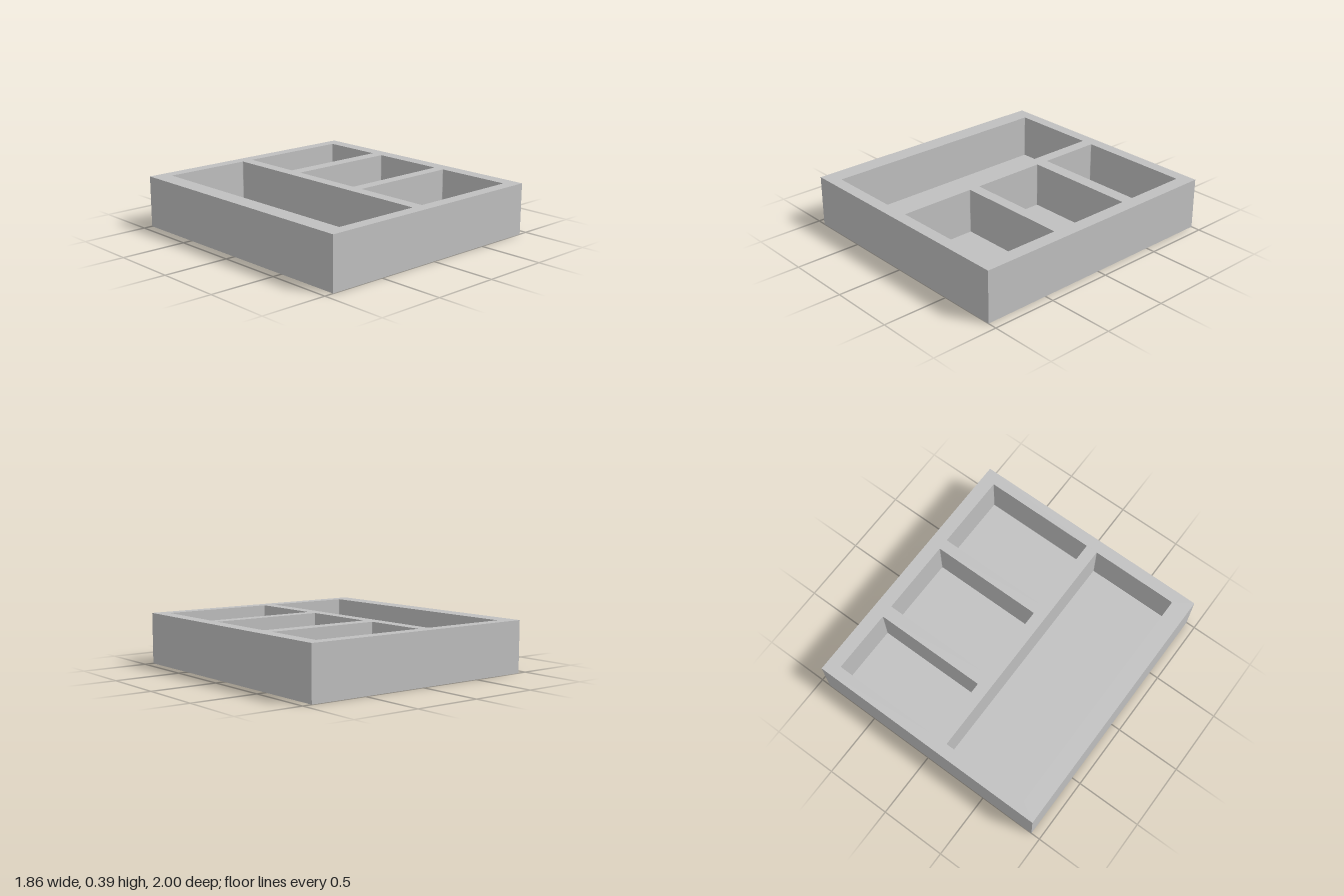
import * as THREE from 'three';

const W = 1.86, D = 2, H = 0.385, FLOOR = 0.05, R = 0.006;

// Compartments as [x0, x1, z0, z1]
const POCKETS = [
  [-0.795, -0.125, -0.91, 0.91],
  [-0.035, 0.828, -0.91, -0.43],
  [-0.035, 0.828, -0.333, 0.243],
  [-0.035, 0.828, 0.328, 0.91],
];

// Rectangle outline with slightly rounded corners
function pocketPath([x0, x1, z0, z1]) {
  const a = -z1, b = -z0, p = new THREE.Path();
  p.moveTo(x0 + R, a);
  p.lineTo(x1 - R, a);
  p.quadraticCurveTo(x1, a, x1, a + R);
  p.lineTo(x1, b - R);
  p.quadraticCurveTo(x1, b, x1 - R, b);
  p.lineTo(x0 + R, b);
  p.quadraticCurveTo(x0, b, x0, b - R);
  p.lineTo(x0, a + R);
  p.quadraticCurveTo(x0, a, x0 + R, a);
  return p;
}

export function createModel() {
  const group = new THREE.Group();
  group.name = 'compartmentTray';
  const grey = new THREE.MeshStandardMaterial({ color: 0xc0c0c0 });
  grey.name = 'light grey';

  // Solid floor slab
  const base = new THREE.Mesh(new THREE.BoxGeometry(W, FLOOR, D), grey);
  base.name = 'floor';
  base.position.y = FLOOR / 2;
  group.add(base);

  // Outer walls and dividers, one block pierced by the compartments
  const outline = new THREE.Shape([
    new THREE.Vector2(-W / 2, -D / 2),
    new THREE.Vector2(W / 2, -D / 2),
    new THREE.Vector2(W / 2, D / 2),
    new THREE.Vector2(-W / 2, D / 2),
  ]);
  outline.holes = POCKETS.map(pocketPath);
  const geometry = new THREE.ExtrudeGeometry(outline, {
    depth: H - FLOOR, bevelEnabled: false, curveSegments: 3,
  });
  geometry.rotateX(-Math.PI / 2);
  const walls = new THREE.Mesh(geometry, grey);
  walls.name = 'wallsAndDividers';
  walls.position.y = FLOOR;
  group.add(walls);

  return group;
}
